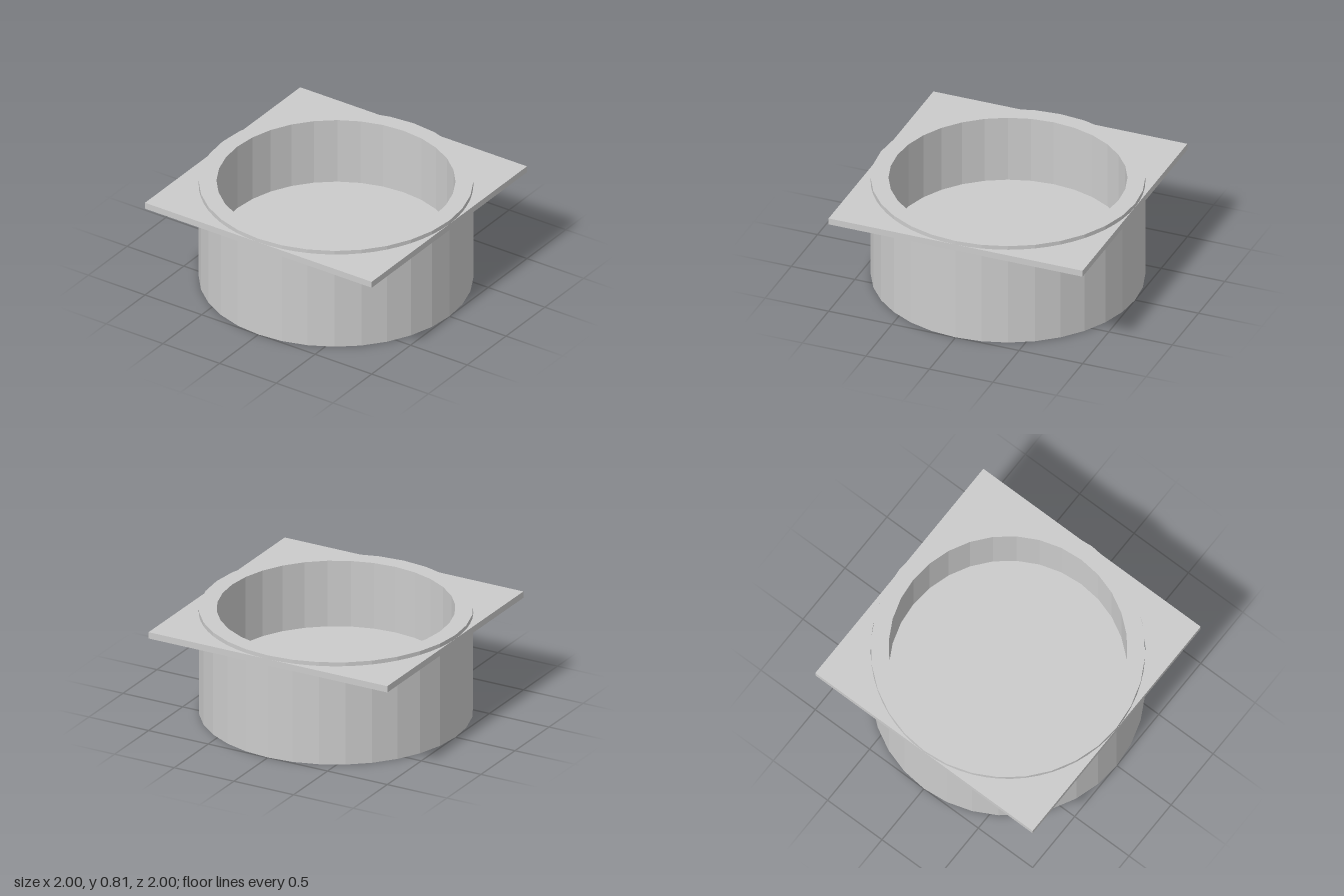
import * as THREE from 'three';

const SIDES = 32;
const HEIGHT = 0.81, INNER_RADIUS = 0.87, FLOOR = 0.29;
const FLANGE_BOTTOM = 0.73, FLANGE_THICKNESS = 0.05;

export function createModel() {
  const model = new THREE.Group();
  const material = new THREE.MeshStandardMaterial({ color: 0xcccccc, flatShading: true });

  // Round cup: base, outer wall, rim, inner wall and raised floor
  const profile = [
    [0, 0], [1, 0], [1, HEIGHT], [INNER_RADIUS, HEIGHT], [INNER_RADIUS, FLOOR], [0, FLOOR],
  ].map(([r, y]) => new THREE.Vector2(r, y));
  const cup = new THREE.Mesh(new THREE.LatheGeometry(profile, SIDES), material);
  cup.name = 'cup';
  model.add(cup);

  // Square flange: four corner plates that fill the gaps around the cup
  const corner = new THREE.Shape();
  corner.moveTo(1, 0);
  corner.lineTo(1, 1);
  corner.lineTo(0, 1);
  corner.absarc(0, 0, 1, Math.PI / 2, 0, true);
  const cornerGeometry = new THREE.ExtrudeGeometry(corner, {
    depth: FLANGE_THICKNESS, bevelEnabled: false, curveSegments: SIDES / 4,
  });
  cornerGeometry.rotateX(-Math.PI / 2);

  const flange = new THREE.Group();
  flange.name = 'flange';
  flange.position.y = FLANGE_BOTTOM;
  for (let i = 0; i < 4; i++) {
    const plate = new THREE.Mesh(cornerGeometry, material);
    plate.name = 'flangeCorner';
    plate.rotation.y = i * Math.PI / 2;
    flange.add(plate);
  }
  model.add(flange);

  return model;
}
